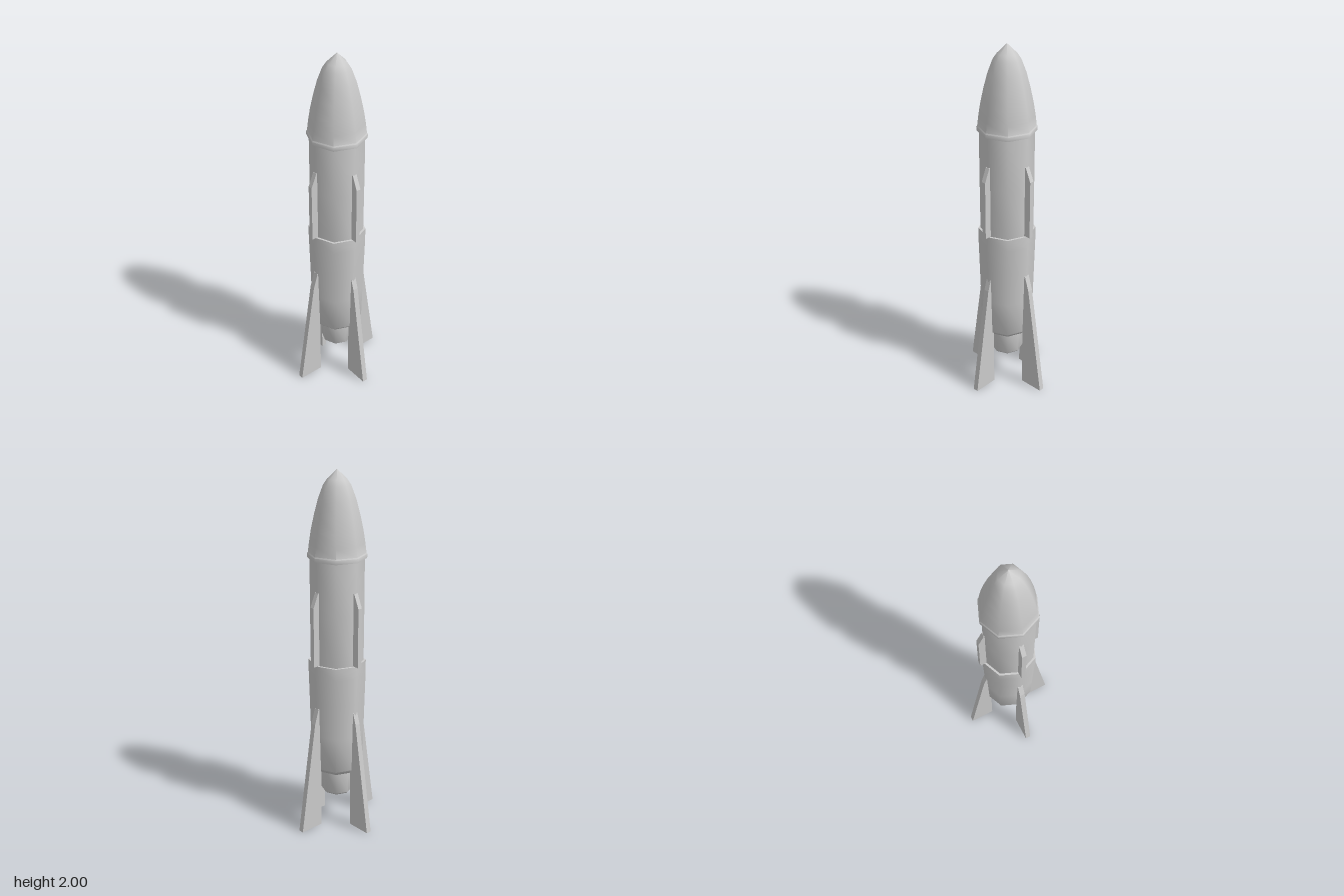
import * as THREE from 'three';
import { toCreasedNormals } from 'three/addons/utils/BufferGeometryUtils.js';

const material = new THREE.MeshStandardMaterial({ color: 0xcccccc });
const SIDES = 8;

// Eight-sided turned part; profile runs from bottom to top as [radius, height]
function turned(name, profile) {
  const points = profile.map(([r, y]) => new THREE.Vector2(r, y));
  const geometry = toCreasedNormals(new THREE.LatheGeometry(points, SIDES), 0.85);
  const mesh = new THREE.Mesh(geometry, material);
  mesh.name = name;
  return mesh;
}

// Flat fin cut from an outline of [distance from axis, height]
function finGeometry(outline, thickness) {
  const shape = new THREE.Shape(outline.map(([x, y]) => new THREE.Vector2(x, y)));
  const geometry = new THREE.ExtrudeGeometry(shape, { depth: thickness, bevelEnabled: false });
  return geometry.translate(0, 0, -thickness / 2);
}

// Four copies around the body, those along z set slightly closer in
function finSet(name, geometry, inset) {
  const set = new THREE.Group();
  set.name = name + 's';
  for (let i = 0; i < 4; i++) {
    const fin = new THREE.Mesh(geometry, material);
    fin.name = name;
    fin.rotation.y = i * Math.PI / 2;
    if (i % 2) fin.position.z = i === 1 ? inset : -inset;
    set.add(fin);
  }
  return set;
}

export function createModel() {
  const rocket = new THREE.Group();
  rocket.name = 'rocket';

  // Pointed nose with a small overhanging lip
  rocket.add(turned('noseCone', [
    [0, 1.54], [0.157, 1.54], [0.158, 1.562], [0.153, 1.568], [0.147, 1.62], [0.136, 1.69],
    [0.119, 1.77], [0.098, 1.85], [0.072, 1.92], [0.052, 1.95], [0, 2],
  ]));

  // Upper stage
  rocket.add(turned('upperBody', [[0.144, 0.96], [0.145, 1.25], [0.145, 1.55]]));

  // Lower stage, tapering to a chamfered base
  rocket.add(turned('lowerBody', [
    [0, 0.32], [0.115, 0.32], [0.142, 0.348], [0.147, 0.55], [0.152, 0.75],
    [0.156, 0.9], [0.156, 0.97], [0, 0.972],
  ]));

  // Engine nozzle
  rocket.add(turned('nozzle', [
    [0, 0.175], [0.078, 0.175], [0.09, 0.187], [0.09, 0.33],
  ]));

  // Long tail fins that double as landing legs
  const tail = finGeometry([
    [0.135, 0], [0.275, 0], [0.176, 0.635], [0.15, 0.72], [0.135, 0.72],
  ], 0.03);
  rocket.add(finSet('tailFin', tail, 0.011));

  // Short side fins on the upper stage
  const side = finGeometry([
    [0.13, 0.972], [0.177, 0.972], [0.177, 1.3], [0.145, 1.375], [0.13, 1.375],
  ], 0.025);
  rocket.add(finSet('upperFin', side, 0));

  return rocket;
}
